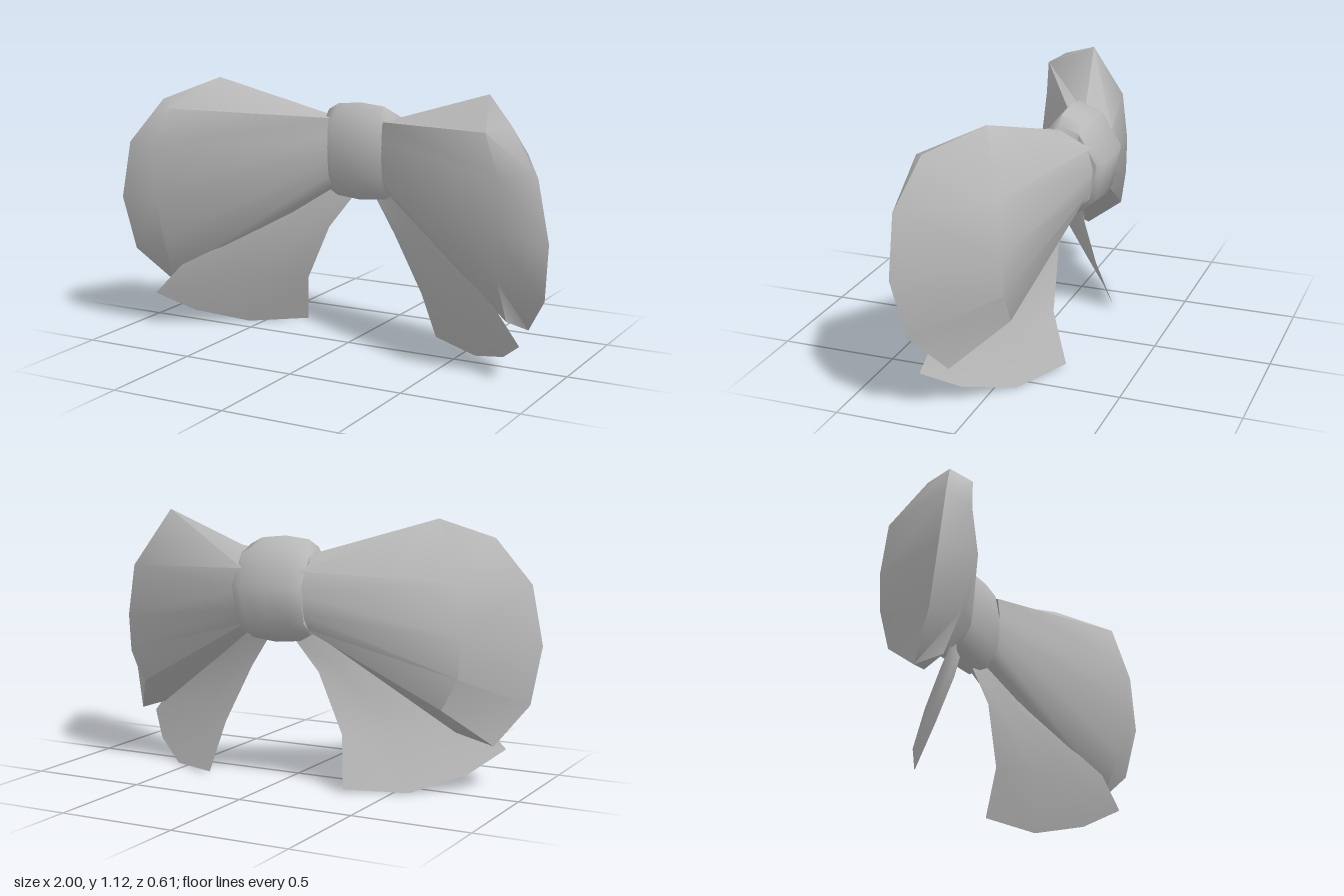
import * as THREE from 'three';
import { toCreasedNormals } from 'three/addons/utils/BufferGeometryUtils.js';

// Skin a list of cross-sections; side = -1 mirrors the result across x = 0.
function loft(rings, closed, side = 1, crease = 0.95) {
  const positions = [];
  const same = (a, b) => a.every((v, i) => v === b[i]);
  const triangle = (a, b, c) => {
    if (same(a, b) || same(b, c) || same(a, c)) return;
    for (const p of side > 0 ? [a, b, c] : [a, c, b]) positions.push(p[0] * side, p[1], p[2]);
  };
  for (let r = 0; r < rings.length - 1; r++) {
    const n = rings[r].length;
    for (let k = 0; k < (closed ? n : n - 1); k++) {
      const j = (k + 1) % n;
      const a = rings[r][k], b = rings[r + 1][k], c = rings[r + 1][j], d = rings[r][j];
      triangle(a, c, b);
      triangle(a, d, c);
    }
  }
  const geometry = new THREE.BufferGeometry();
  geometry.setAttribute('position', new THREE.Float32BufferAttribute(positions, 3));
  return toCreasedNormals(geometry, crease);
}

// Sections run top, front, bottom, back.
const loopInner = [
  [0.13, 0.97, -0.13], [0.13, 0.97, -0.06], [0.13, 0.89, -0.05], [0.13, 0.8, -0.05],
  [0.13, 0.72, -0.06], [0.13, 0.67, -0.09], [0.13, 0.66, -0.15], [0.13, 0.68, -0.22],
  [0.13, 0.74, -0.26], [0.13, 0.82, -0.27], [0.13, 0.91, -0.25],
];
const loopWide = [
  [0.64, 1.125, 0], [0.73, 1.01, 0.25], [0.8, 0.84, 0.285], [0.79, 0.64, 0.305],
  [0.79, 0.42, 0.24], [0.8, 0.25, 0.17], [0.71, 0.25, 0.04], [0.71, 0.37, -0.12],
  [0.78, 0.5, -0.12], [0.79, 0.66, -0.12], [0.77, 0.88, -0.1],
];
// Outer seam, where the front and back of the loop meet
const seam = [
  [0.81, 1.04, 0.19], [0.95, 0.85, 0.25], [1, 0.6, 0.25], [0.97, 0.36, 0.2], [0.86, 0.2, 0.08],
];
const loopRim = [0, 0, 1, 2, 3, 4, 4, 4, 3, 2, 1].map((i) => seam[i]);

// Ribbon tail rows, from the knot to the pointed hem
const tailRows = [
  [[0.05, 0.63, -0.15], [0.1, 0.64, -0.14], [0.15, 0.65, -0.12], [0.2, 0.66, -0.1]],
  [[0.16, 0.48, -0.12], [0.24, 0.49, -0.09], [0.32, 0.49, -0.05], [0.39, 0.5, -0.01]],
  [[0.28, 0.23, -0.14], [0.46, 0.23, -0.04], [0.62, 0.26, 0.07], [0.75, 0.3, 0.17]],
  [[0.32, 0.02, -0.21], [0.56, 0.005, -0.085], [0.75, 0.07, 0.07], [0.87, 0.165, 0.2]],
];

// Knot profile as [z, y]
const knotProfile = [
  [-0.11, 1.04], [-0.055, 0.98], [-0.035, 0.85], [-0.05, 0.72], [-0.1, 0.62],
  [-0.19, 0.605], [-0.27, 0.67], [-0.305, 0.845], [-0.21, 1.0],
];
const knotSteps = [[-0.15, 0], [-0.16, 0.82], [-0.11, 0.95], [0, 1], [0.11, 0.95], [0.16, 0.82], [0.15, 0]];

export function createModel() {
  const group = new THREE.Group();
  const fabric = new THREE.MeshStandardMaterial({ color: 0xb8b8b8 });
  fabric.name = 'grey fabric';
  fabric.side = THREE.DoubleSide;

  const add = (name, geometry) => {
    const mesh = new THREE.Mesh(geometry, fabric);
    mesh.name = name;
    group.add(mesh);
  };

  // Mirrored loops and tails
  for (const [name, side] of [['left', 1], ['right', -1]]) {
    add(name + 'Loop', loft([loopInner, loopWide, loopRim], true, side));
    add(name + 'Tail', loft(tailRows, false, side));
  }

  // Rounded central knot
  const knotRings = knotSteps.map(([x, s]) =>
    knotProfile.map(([z, y]) => [x, 0.82 + (y - 0.82) * s, -0.17 + (z + 0.17) * s]));
  add('knot', loft(knotRings, true, 1, 1.2));

  return group;
}
